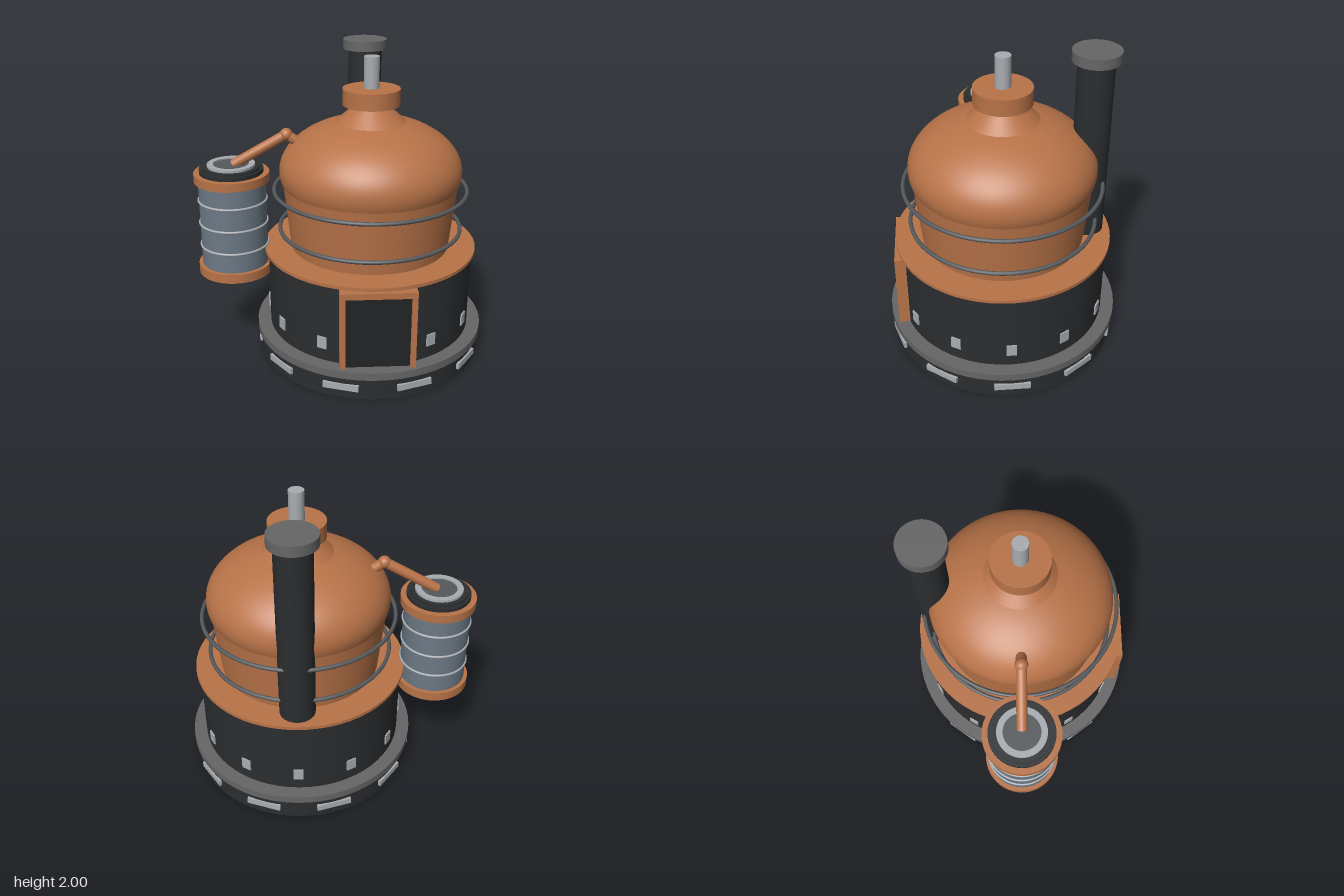
import * as THREE from 'three';

const mat = (color) => new THREE.MeshStandardMaterial({ color });
const AXIS = 0.184; // x of the main pot
const COND = -0.713; // x of the condenser

export function createModel() {
  const model = new THREE.Group();
  const copper = mat(0xb87348);
  const iron = mat(0x2b2d2f);
  const grey = mat(0x666666);
  const steel = mat(0x55595c);
  const silver = mat(0xa8adb2);
  const zinc = mat(0x6c7985);
  const doorBlack = mat(0x222326);

  const add = (name, geometry, material, x = 0, y = 0, z = 0, parent = model) => {
    const mesh = new THREE.Mesh(geometry, material);
    mesh.name = name;
    mesh.position.set(x, y, z);
    parent.add(mesh);
    return mesh;
  };
  // Upright cylinder given by its bottom and top heights
  const drum = (name, r, y0, y1, material, x = AXIS, z = 0, seg = 64) =>
    add(name, new THREE.CylinderGeometry(r, r, y1 - y0, seg), material, x, (y0 + y1) / 2, z);
  // Horizontal ring
  const hoop = (name, r, tube, y, material, x = AXIS) => {
    const m = add(name, new THREE.TorusGeometry(r, tube, 12, 80), material, x, y, 0);
    m.rotation.x = Math.PI / 2;
    return m;
  };
  // Straight round pipe between two points
  const pipe = (name, a, b, r, material) => {
    const from = new THREE.Vector3(...a), to = new THREE.Vector3(...b);
    const dir = to.clone().sub(from);
    const m = add(name, new THREE.CylinderGeometry(r, r, dir.length(), 24), material);
    m.position.copy(from).add(to).multiplyScalar(0.5);
    m.quaternion.setFromUnitVectors(new THREE.Vector3(0, 1, 0), dir.normalize());
    return m;
  };
  // Small plates set around the main axis
  const plates = (name, count, start, skipFirst, size, r, y) => {
    const group = new THREE.Group();
    group.name = name;
    group.position.set(AXIS, y, 0);
    for (let i = skipFirst ? 1 : 0; i < count; i++) {
      const a = start + (i / count) * Math.PI * 2;
      const p = add('plate', new THREE.BoxGeometry(...size), silver, Math.sin(a) * r, 0, Math.cos(a) * r, group);
      p.rotation.y = a;
    }
    model.add(group);
  };

  // Base, rim and firebox
  drum('base', 0.742, 0, 0.15, iron);
  drum('baseRim', 0.763, 0.15, 0.2, grey);
  plates('basePlates', 10, Math.PI / 10, false, [0.228, 0.042, 0.03], 0.737, 0.08);
  drum('firebox', 0.676, 0.2, 0.73, iron);
  plates('fireboxPlates', 12, 0, true, [0.064, 0.08, 0.03], 0.67, 0.325);
  drum('fireboxTop', 0.7, 0.728, 0.75, copper);

  // Door with a three-sided frame
  const frame = new THREE.Shape();
  [[-0.235, 0.2], [-0.2, 0.2], [-0.2, 0.677], [0.2, 0.677], [0.2, 0.2], [0.235, 0.2], [0.235, 0.717], [-0.235, 0.717]]
    .forEach(([x, y], i) => (i ? frame.lineTo(x, y) : frame.moveTo(x, y)));
  add('doorFrame', new THREE.ExtrudeGeometry(frame, { depth: 0.084, bevelEnabled: false }), copper, AXIS, 0, 0.62);
  add('door', new THREE.BoxGeometry(0.4, 0.477, 0.08), doorBlack, AXIS, 0.4385, 0.645);

  // Tapered pot, domed shoulder and conical neck
  add('pot', new THREE.CylinderGeometry(0.568, 0.524, 0.43, 64, 1, true), copper, AXIS, 0.965, 0);
  const dome = [];
  for (let i = 0; i <= 24; i++) {
    const t = THREE.MathUtils.lerp(-0.23, 1.18, i / 24);
    dome.push(new THREE.Vector2(0.59 * Math.cos(t), 1.254 + 0.347 * Math.sin(t)));
  }
  add('dome', new THREE.LatheGeometry(dome, 64), copper, AXIS);
  add('neck', new THREE.CylinderGeometry(0.1, 0.225, 0.11, 64, 1, true), copper, AXIS, 1.63, 0);
  drum('collar', 0.182, 1.683, 1.788, copper);
  drum('vent', 0.049, 1.78, 1.987, silver, AXIS, 0, 32);
  hoop('upperHoop', 0.627, 0.013, 1.13, steel);
  hoop('lowerHoop', 0.595, 0.013, 0.868, steel);

  // Chimney behind the pot
  drum('chimney', 0.113, 0.74, 1.94, iron, AXIS, -0.547, 48);
  drum('chimneyCap', 0.148, 1.935, 2, grey, AXIS, -0.547, 48);

  // Condenser barrel with bands, hoops and stepped lid
  drum('condenserBody', 0.218, 0.6, 1.23, zinc, COND);
  drum('condenserBottomBand', 0.243, 0.568, 0.63, copper, COND);
  drum('condenserTopBand', 0.243, 1.198, 1.254, copper, COND);
  for (const y of [0.762, 0.916, 1.07]) hoop('condenserHoop', 0.22, 0.008, y, silver, COND);
  drum('condenserLid', 0.206, 1.25, 1.28, iron, COND);
  drum('condenserLidStep', 0.186, 1.28, 1.293, iron, COND);
  const ring = [[0.115, 1.29], [0.154, 1.29], [0.154, 1.309], [0.115, 1.309], [0.115, 1.29]];
  const ringGeo = new THREE.LatheGeometry(ring.map(([x, y]) => new THREE.Vector2(x, y)), 48).toNonIndexed();
  ringGeo.computeVertexNormals();
  add('condenserLidRing', ringGeo, silver, COND);
  drum('condenserLidCentre', 0.116, 1.28, 1.3, steel, COND, 0, 48);

  // Pipes between the dome, condenser and firebox
  pipe('vapourPipe', [-0.7, 1.3, 0], [-0.355, 1.495, 0], 0.033, copper);
  add('pipeElbow', new THREE.SphereGeometry(0.041, 24, 16), copper, -0.355, 1.495, 0);
  pipe('domePipe', [-0.355, 1.495, 0], [-0.2, 1.385, 0], 0.033, copper);
  pipe('drainPipe', [COND, 0.57, 0], [-0.46, 0.55, 0], 0.025, copper);

  return model;
}
